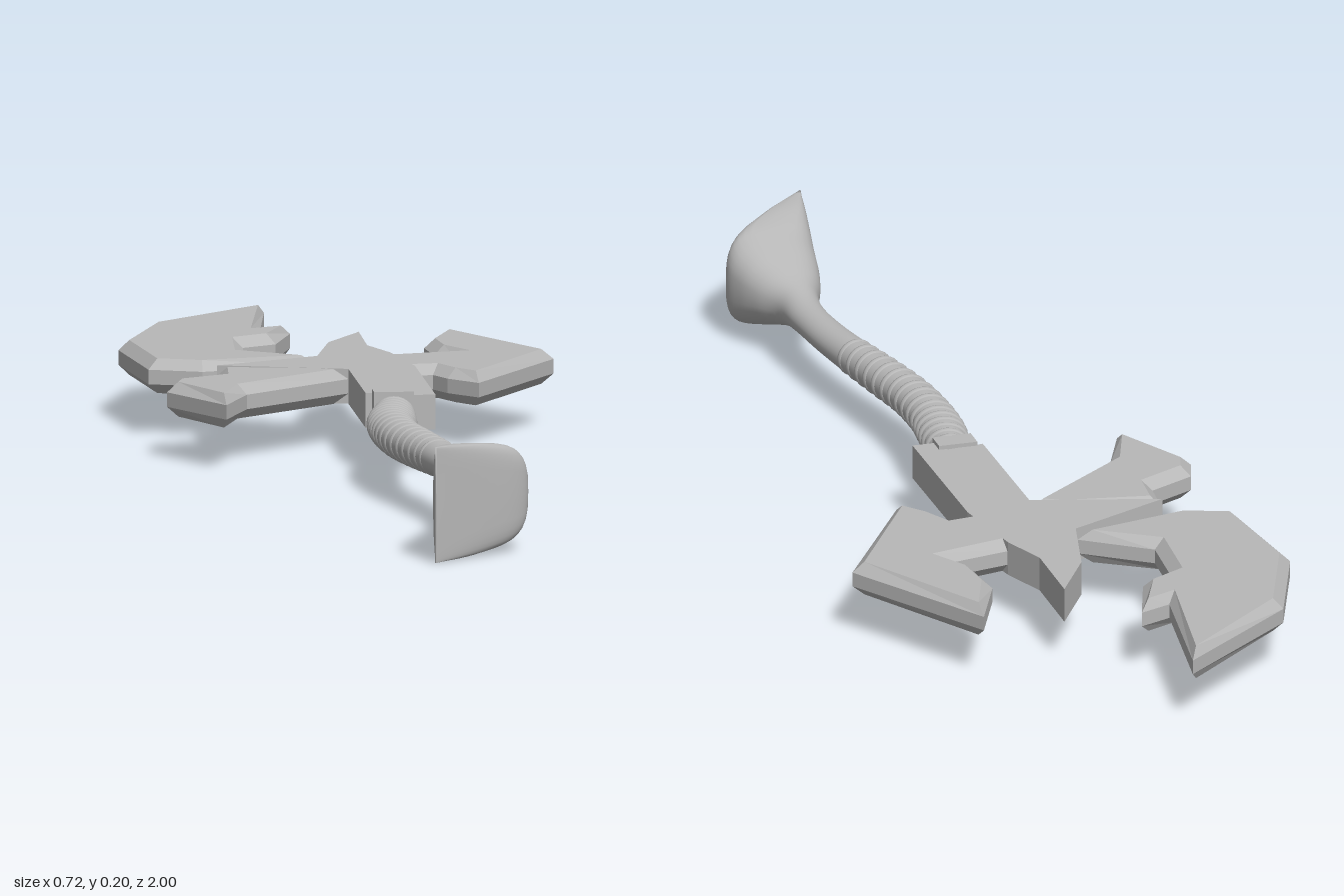
import * as THREE from 'three';

const metal = new THREE.MeshStandardMaterial({ color: 0xb8b8b8 });
metal.name = 'grey';
const MID = 0.102; // height of the middle plane

// Flat plate from an outline of [x, z] corners, with optional bevelled rim
function plate(name, points, thickness, bevel = 0) {
  const shape = new THREE.Shape(points.map(([x, z]) => new THREE.Vector2(x, z)));
  const rim = bevel ? 0.0175 : 0;
  const depth = thickness - 2 * rim;
  const geo = new THREE.ExtrudeGeometry(shape, {
    depth, bevelEnabled: bevel > 0, bevelThickness: rim,
    bevelSize: bevel, bevelOffset: -bevel, bevelSegments: 1,
  });
  geo.rotateX(Math.PI / 2);
  geo.translate(0, MID + depth / 2, 0);
  const mesh = new THREE.Mesh(geo, metal);
  mesh.name = name;
  return mesh;
}

// Grip and pommel stations: left x, right x, z, half height, squareness
const stations = [
  [-0.043, 0.02, -0.03, 0.031, 2],
  [-0.05, 0.016, 0.04, 0.031, 2],
  [-0.077, 0.002, 0.12, 0.032, 2],
  [-0.09, -0.014, 0.2, 0.033, 2],
  [-0.094, -0.021, 0.3, 0.033, 2],
  [-0.085, -0.015, 0.4, 0.033, 2],
  [-0.073, -0.008, 0.5, 0.031, 2],
  [-0.066, -0.003, 0.6, 0.028, 2],
  [-0.067, -0.004, 0.69, 0.029, 2],
  [-0.08, -0.004, 0.75, 0.038, 2.1],
  [-0.105, 0.016, 0.8, 0.053, 2.3],
  [-0.12, 0.029, 0.84, 0.067, 2.6],
  [-0.131, 0.034, 0.88, 0.08, 3],
  [-0.138, 0.016, 0.91, 0.089, 3.8],
  [-0.147, -0.055, 0.95, 0.097, 5],
  [-0.155, -0.152, 1.0, 0.1, 8],
];
const curve = (f) => new THREE.CatmullRomCurve3(stations.map(f), false, 'catmullrom');
const plan = curve(([l, r, z]) => new THREE.Vector3((l + r) / 2, (r - l) / 2, z));
const section = curve(([, , , h, p]) => new THREE.Vector3(h, p, 0));

// Loft of rounded-square rings along the stations
function handleGeometry(rows = 75, sides = 32) {
  const pos = [], index = [];
  const soft = (v, p) => Math.sign(v) * Math.pow(Math.abs(v), 2 / p);
  for (let i = 0; i <= rows; i++) {
    const a = plan.getPoint(i / rows), s = section.getPoint(i / rows);
    for (let j = 0; j < sides; j++) {
      const t = (j / sides) * Math.PI * 2;
      pos.push(a.x + a.y * soft(Math.cos(t), s.y),
        Math.max(0, 0.1 + s.x * soft(Math.sin(t), s.y)), a.z);
      if (i === rows) continue;
      const p = i * sides + j, q = i * sides + ((j + 1) % sides);
      index.push(p, q, p + sides, q, q + sides, p + sides);
    }
  }
  const last = rows * sides;
  for (let j = 1; j < sides - 1; j++) index.push(last, last + j, last + j + 1);
  const geo = new THREE.BufferGeometry();
  geo.setAttribute('position', new THREE.Float32BufferAttribute(pos, 3));
  geo.setIndex(index);
  geo.computeVertexNormals();
  return geo;
}

export function createModel() {
  const group = new THREE.Group();

  // Central head with its forward spike
  group.add(plate('headCore', [
    [0.075, -0.66], [0, -0.56], [-0.05, -0.42], [-0.238, -0.357], [-0.028, -0.272],
    [-0.055, -0.01], [0.01, -0.01], [0.01, 0.025], [0.058, 0.03],
    [0.09, -0.28], [0.08, -0.43], [0.058, -0.515],
  ], 0.06));

  // Bevelled blades
  group.add(plate('mainBlade', [
    [-0.016, -1], [-0.249, -0.85], [-0.344, -0.66], [-0.339, -0.442], [-0.254, -0.4],
    [-0.05, -0.428], [-0.153, -0.521], [-0.132, -0.638], [-0.069, -0.664],
    [-0.021, -0.77], [-0.079, -0.754],
  ], 0.06, 0.018));
  group.add(plate('sideBlade', [
    [0.05, -0.425], [0.196, -0.437], [0.169, -0.489], [0.169, -0.569], [0.233, -0.68],
    [0.36, -0.41], [0.18, -0.183], [0.138, -0.24], [0.122, -0.283], [0.05, -0.283],
  ], 0.06, 0.018));
  group.add(plate('lowerBlade', [
    [-0.238, -0.357], [-0.254, -0.278], [-0.339, -0.246], [-0.36, -0.198],
    [-0.291, -0.04], [-0.233, -0.143], [-0.028, -0.272], [-0.07, -0.31],
  ], 0.06, 0.018));

  // Collar where the grip meets the head
  const collar = new THREE.Mesh(new THREE.BoxGeometry(0.068, 0.074, 0.04), metal);
  collar.name = 'collar';
  collar.position.set(-0.012, MID, 0.01);
  collar.rotation.y = -0.12;
  group.add(collar);

  // Curved grip flowing into the wedge pommel
  const handle = new THREE.Mesh(handleGeometry(), metal);
  handle.name = 'gripAndPommel';
  group.add(handle);

  // Wrapped ribs that fade toward the pommel
  const ribs = new THREE.Group();
  ribs.name = 'gripRibs';
  const count = 17;
  for (let i = 0; i < count; i++) {
    const t = (1.1 + (i / (count - 1)) * 4.9) / (stations.length - 1);
    const a = plan.getPoint(t), s = section.getPoint(t), d = plan.getTangent(t);
    const rib = new THREE.Mesh(new THREE.TorusGeometry(1, 0.17, 8, 28), metal);
    rib.name = 'rib';
    const grow = 0.95 - 0.05 * (i / count);
    rib.scale.set(a.y * grow, s.x * grow, 0.045);
    rib.position.set(a.x, 0.1, a.z);
    rib.rotation.y = Math.atan2(d.x, d.z);
    ribs.add(rib);
  }
  group.add(ribs);
  return group;
}
